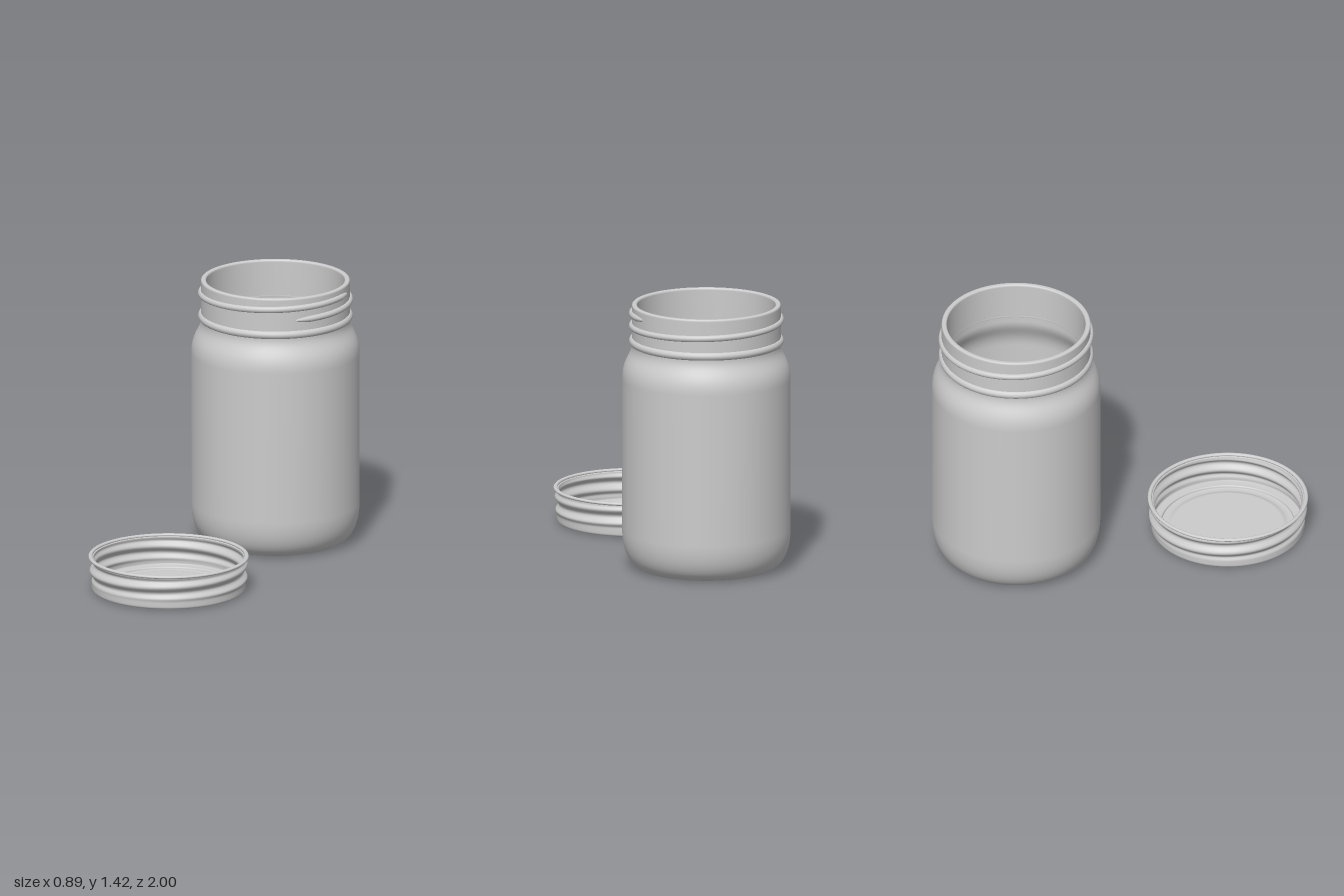
import * as THREE from 'three';
import { mergeVertices } from 'three/addons/utils/BufferGeometryUtils.js';

const material = new THREE.MeshStandardMaterial({ color: 0xcccccc });

function addMesh(parent, name, geometry, y = 0) {
  const mesh = new THREE.Mesh(geometry, material);
  mesh.name = name;
  mesh.position.y = y;
  parent.add(mesh);
}

function ring(radius, tube) {
  return new THREE.TorusGeometry(radius, tube, 14, 96).rotateX(Math.PI / 2);
}

// Helical thread on the neck; angle 0 is the front, 90 degrees is +x
class Helix extends THREE.Curve {
  getPoint(t, target = new THREE.Vector3()) {
    const a = THREE.MathUtils.degToRad(45 + 418 * t);
    return target.set(0.391 * Math.sin(a), 1.298 + 0.077 * t, 0.391 * Math.cos(a));
  }
}

function threadGeometry() {
  const helix = new Helix(), rows = 200, sides = 12;
  const geometry = new THREE.TubeGeometry(helix, rows, 0.017, sides);
  const pos = geometry.attributes.position;
  const v = new THREE.Vector3(), c = new THREE.Vector3();
  // Taper both ends to a point
  for (let i = 0; i < pos.count; i++) {
    const t = Math.floor(i / (sides + 1)) / rows;
    const s = Math.sqrt(Math.min(1, t / 0.03, (1 - t) / 0.03));
    helix.getPoint(t, c);
    v.fromBufferAttribute(pos, i).sub(c).multiplyScalar(s).add(c);
    pos.setXYZ(i, v.x, v.y, v.z);
  }
  return geometry;
}

function buildJar() {
  const jar = new THREE.Group();
  jar.name = 'jar';
  const p = new THREE.Path();
  // Recessed underside and standing ring
  p.moveTo(0, 0.035);
  p.lineTo(0.28, 0.035);
  p.quadraticCurveTo(0.325, 0.033, 0.335, 0.008);
  p.quadraticCurveTo(0.345, 0, 0.36, 0.008);
  // Outer wall, shoulder and neck
  p.bezierCurveTo(0.415, 0.035, 0.443, 0.11, 0.443, 0.21);
  p.lineTo(0.443, 1.02);
  p.bezierCurveTo(0.443, 1.12, 0.393, 1.14, 0.392, 1.2);
  p.lineTo(0.392, 1.408);
  // Rounded rim
  p.quadraticCurveTo(0.392, 1.42, 0.382, 1.42);
  p.lineTo(0.375, 1.42);
  p.quadraticCurveTo(0.364, 1.42, 0.364, 1.408);
  // Inner wall and floor
  p.lineTo(0.364, 1.19);
  p.bezierCurveTo(0.364, 1.13, 0.415, 1.1, 0.415, 1.01);
  p.lineTo(0.415, 0.22);
  p.bezierCurveTo(0.415, 0.11, 0.38, 0.065, 0.3, 0.065);
  p.lineTo(0, 0.065);
  addMesh(jar, 'glassBody', new THREE.LatheGeometry(p.getPoints(12), 96));
  addMesh(jar, 'neckBead', ring(0.385, 0.022), 1.222);
  addMesh(jar, 'neckThread', threadGeometry());
  return jar;
}

function lidGeometry() {
  const p = new THREE.Path();
  // Underside: sunken panel, raised ring, rounded corner
  p.moveTo(0, 0.013);
  p.lineTo(0.285, 0.013);
  p.bezierCurveTo(0.305, 0.013, 0.305, 0.001, 0.33, 0.001);
  p.lineTo(0.345, 0.002);
  p.quadraticCurveTo(0.352, 0.006, 0.362, 0.006);
  p.lineTo(0.39, 0.006);
  p.quadraticCurveTo(0.405, 0.006, 0.405, 0.022);
  // Skirt, outside then inside, with enough rows for the thread
  const steps = 26;
  for (let i = 0; i <= steps; i++) p.lineTo(0.405, 0.03 + 0.15 * i / steps);
  for (let i = steps; i >= 0; i--) p.lineTo(0.395, 0.03 + 0.15 * i / steps);
  // Gasket channel and inner floor
  p.lineTo(0.39, 0.026);
  p.lineTo(0.358, 0.026);
  p.quadraticCurveTo(0.351, 0.026, 0.35, 0.013);
  p.lineTo(0.33, 0.012);
  p.bezierCurveTo(0.305, 0.012, 0.305, 0.022, 0.285, 0.022);
  p.lineTo(0, 0.022);
  let geometry = new THREE.LatheGeometry(p.getPoints(6), 128);

  // Press a helical wave into the skirt
  const pos = geometry.attributes.position;
  for (let i = 0; i < pos.count; i++) {
    const x = pos.getX(i), y = pos.getY(i), z = pos.getZ(i);
    const r = Math.hypot(x, z);
    if (r < 0.393) continue;
    const fade = THREE.MathUtils.smoothstep(y, 0.045, 0.075) * (1 - THREE.MathUtils.smoothstep(y, 0.15, 0.175));
    const wave = Math.cos(2 * Math.PI * (y - 0.12) / 0.075 - Math.atan2(x, z));
    const k = 1 + 0.011 * fade * wave / r;
    pos.setXYZ(i, x * k, y, z * k);
  }
  // Weld the seam for smooth normals
  geometry.deleteAttribute('uv');
  geometry.deleteAttribute('normal');
  geometry = mergeVertices(geometry, 1e-5);
  geometry.computeVertexNormals();
  return geometry;
}

function buildLid() {
  const lid = new THREE.Group();
  lid.name = 'lid';
  addMesh(lid, 'lidShell', lidGeometry());
  addMesh(lid, 'rolledEdge', ring(0.411, 0.011).scale(1, 0.75, 1), 0.184);
  return lid;
}

export function createModel() {
  const model = new THREE.Group();
  model.name = 'jarWithLid';
  const jar = buildJar();
  jar.position.z = -0.557;
  const lid = buildLid();
  lid.position.z = 0.577;
  model.add(jar, lid);
  return model;
}
